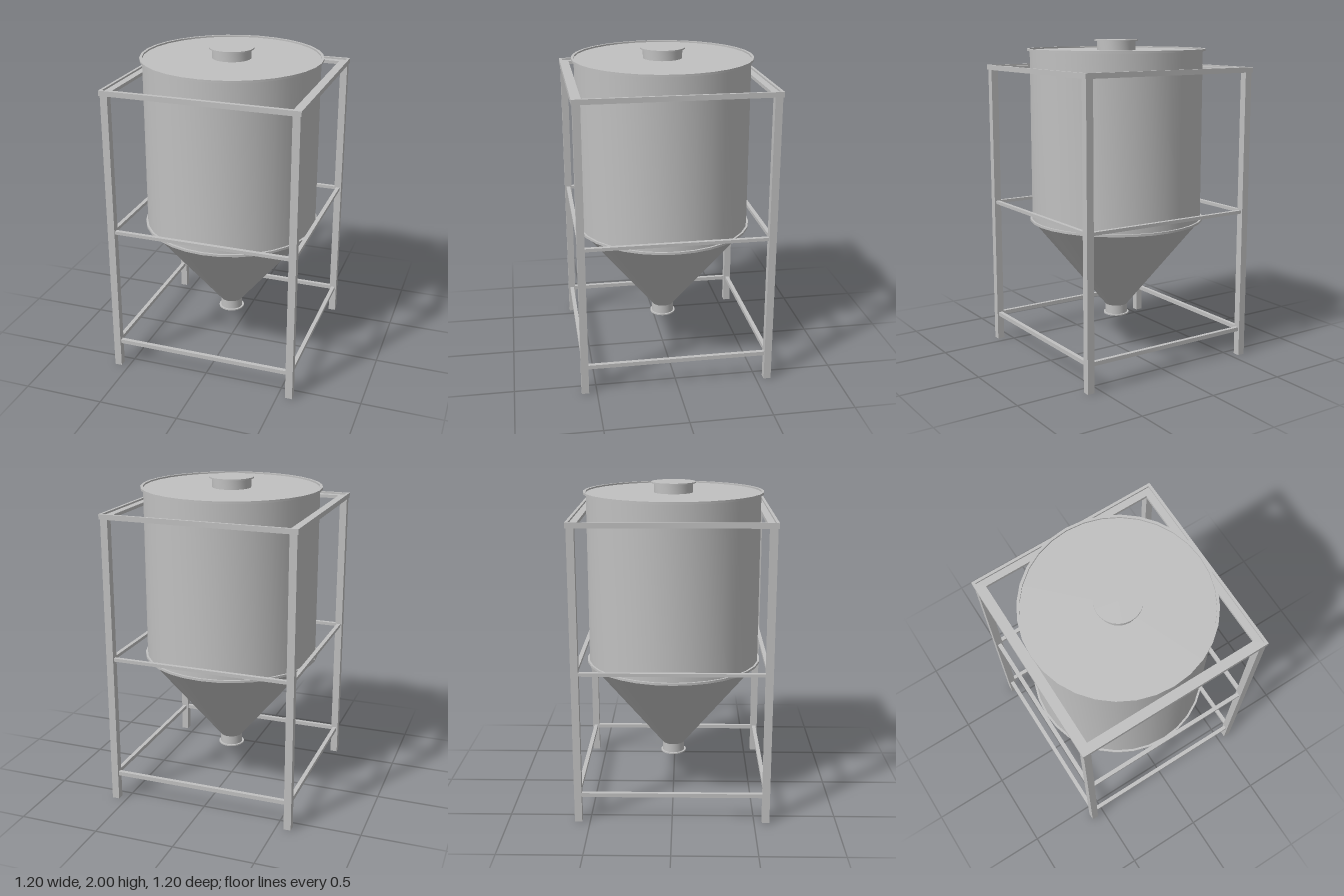
import * as THREE from 'three';
import { toCreasedNormals } from 'three/addons/utils/BufferGeometryUtils.js';

const SIDES = 32;

export function createModel() {
  const model = new THREE.Group();
  model.name = 'hopperSilo';
  const steel = new THREE.MeshStandardMaterial({ color: 0xc0c0c0, side: THREE.DoubleSide });
  steel.name = 'grey steel';

  const add = (parent, name, geometry, x = 0, y = 0, z = 0) => {
    const mesh = new THREE.Mesh(geometry, steel);
    mesh.name = name;
    mesh.position.set(x, y, z);
    parent.add(mesh);
    return mesh;
  };
  // Turned part from [radius, height] points, listed from the bottom up
  const turned = (name, points) => {
    const profile = points.map(([r, y]) => new THREE.Vector2(r, y));
    add(model, name, toCreasedNormals(new THREE.LatheGeometry(profile, SIDES), 0.6));
  };
  // Flat ring with a rectangular section
  const ring = (name, inner, outer, y0, y1) =>
    turned(name, [[inner, y0], [outer, y0], [outer, y1], [inner, y1], [inner, y0]]);

  // Vessel
  turned('tankShell', [[0.54, 0.87], [0.54, 1.935], [0, 1.935]]);
  ring('topRim', 0.54, 0.556, 1.932, 1.945);
  ring('lowerRim', 0.535, 0.553, 0.866, 0.88);
  turned('cone', [[0.07, 0.295], [0.54, 0.87]]);

  // Inlet with a closed cover
  turned('inletNeck', [[0.12, 1.935], [0.12, 1.992]]);
  turned('inletCover', [[0, 1.992], [0.137, 1.992], [0.137, 2], [0, 2]]);

  // Open outlet
  ring('outletPipe', 0.06, 0.07, 0.232, 0.3);
  ring('outletFlange', 0.06, 0.082, 0.23, 0.238);

  // Legs
  const frame = new THREE.Group();
  frame.name = 'frame';
  model.add(frame);
  for (const x of [-0.571, 0.571])
    for (const z of [-0.571, 0.571])
      add(frame, 'leg', new THREE.BoxGeometry(0.045, 1.81, 0.045), x, 0.905, z);

  // Each side carries a lower and a middle rail
  for (let i = 0; i < 4; i++) {
    const side = new THREE.Group();
    side.name = 'frameSide';
    side.rotation.y = i * Math.PI / 2;
    frame.add(side);
    add(side, 'lowerRail', new THREE.BoxGeometry(1.1, 0.025, 0.025), 0, 0.173, 0.571);
    add(side, 'middleRail', new THREE.BoxGeometry(1.1, 0.02, 0.025), 0, 0.94, 0.571);
  }

  // Square top frame: a flat flange with a raised outer lip
  const squareFrame = (name, inner, y0, y1) => {
    const square = (path, s) => path.moveTo(-s, -s).lineTo(s, -s).lineTo(s, s).lineTo(-s, s).closePath();
    const shape = square(new THREE.Shape(), 0.6);
    shape.holes.push(square(new THREE.Path(), inner));
    const geometry = new THREE.ExtrudeGeometry(shape, { depth: y1 - y0, bevelEnabled: false });
    add(frame, name, geometry.rotateX(-Math.PI / 2), 0, y0, 0);
  };
  squareFrame('topFlange', 0.54, 1.805, 1.825);
  squareFrame('topLip', 0.583, 1.825, 1.836);

  return model;
}
